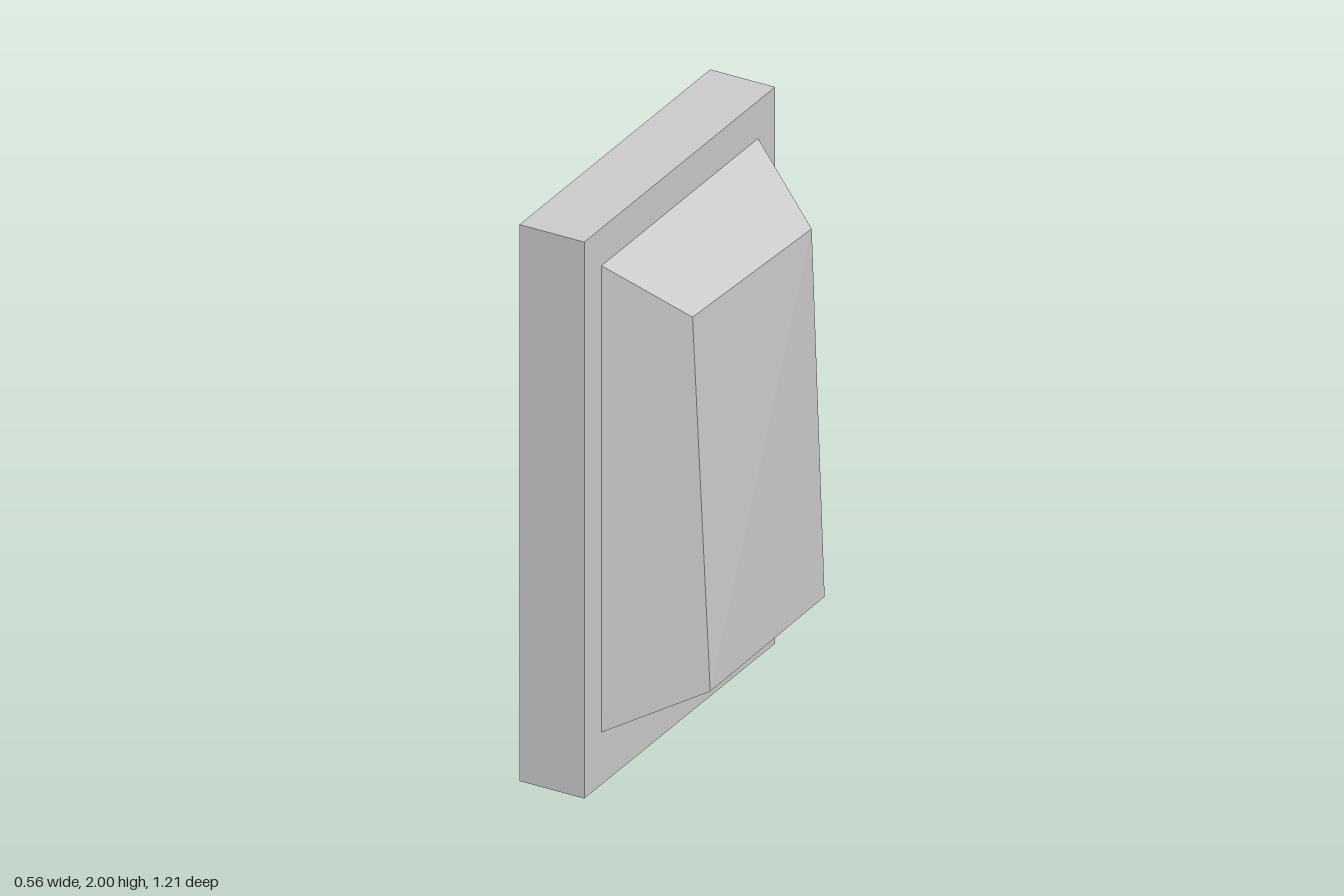
import * as THREE from 'three';

const PLATE_FACE = -0.045;

// Raised panel: a box whose base and outer corners are moved into a skewed taper
function panelGeometry() {
  const outer = {
    topFront: [0.215, 1.69, 0.37],
    topBack: [0.237, 1.683, -0.35],
    bottomFront: [0.28, 0.362, 0.37],
    bottomBack: [0.267, 0.355, -0.38],
  };
  const geo = new THREE.BoxGeometry(1, 1, 1).toNonIndexed();
  const p = geo.attributes.position;
  for (let i = 0; i < p.count; i++) {
    const top = p.getY(i) > 0, front = p.getZ(i) > 0;
    if (p.getX(i) > 0) {
      p.setXYZ(i, ...outer[(top ? 'top' : 'bottom') + (front ? 'Front' : 'Back')]);
    } else {
      p.setXYZ(i, PLATE_FACE, top ? 1.865 : 0.188, front ? 0.498 : -0.498);
    }
  }
  geo.computeVertexNormals();
  return geo;
}

export function createModel() {
  const group = new THREE.Group();
  const material = new THREE.MeshStandardMaterial({ color: 0xcccccc, flatShading: true });

  // Flat upright backing plate
  const plate = new THREE.Mesh(new THREE.BoxGeometry(0.238, 2, 1.214), material);
  plate.name = 'backPlate';
  plate.position.set(PLATE_FACE - 0.119, 1, 0);
  group.add(plate);

  // Tapered panel on the +x side of the plate
  const panel = new THREE.Mesh(panelGeometry(), material);
  panel.name = 'raisedPanel';
  group.add(panel);

  return group;
}
